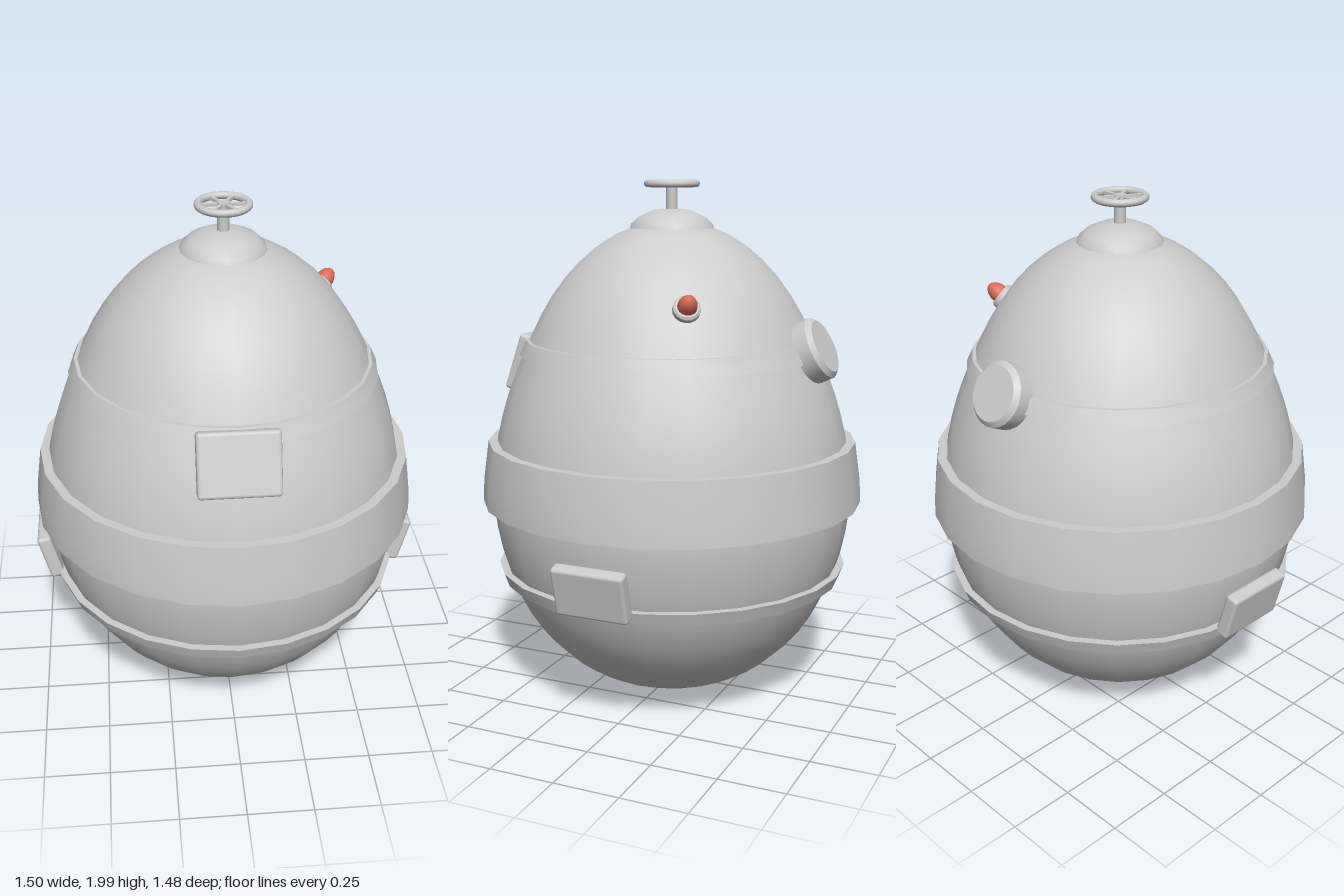
import * as THREE from 'three';
import { toCreasedNormals } from 'three/addons/utils/BufferGeometryUtils.js';
import { RoundedBoxGeometry } from 'three/addons/geometries/RoundedBoxGeometry.js';

const UP = new THREE.Vector3(0, 1, 0);
const toPoints = (list) => list.map(([r, y]) => new THREE.Vector2(r, y));
// Turned solid with sharp edges kept sharp
const turned = (list, sides = 24) =>
  toCreasedNormals(new THREE.LatheGeometry(toPoints(list), sides), 0.6);

export function createModel() {
  const model = new THREE.Group();
  const shell = new THREE.MeshStandardMaterial({ color: 0xcccccc });
  shell.name = 'grey shell';
  const red = new THREE.MeshStandardMaterial({ color: 0xdb6a55 });
  red.name = 'red lamp';

  const add = (name, geometry, material = shell, parent = model) => {
    const mesh = new THREE.Mesh(geometry, material);
    mesh.name = name;
    parent.add(mesh);
    return mesh;
  };
  // Group whose local +y points along a direction
  const aimed = (name, position, direction) => {
    const group = new THREE.Group();
    group.name = name;
    group.position.set(...position);
    group.quaternion.setFromUnitVectors(UP, new THREE.Vector3(...direction).normalize());
    model.add(group);
    return group;
  };

  // Egg-shaped body
  const profile = new THREE.SplineCurve(toPoints([
    [0, 0.005], [0.16, 0.025], [0.31, 0.08], [0.43, 0.16], [0.54, 0.28], [0.62, 0.42],
    [0.672, 0.57], [0.7, 0.74], [0.698, 0.88], [0.678, 1.03], [0.635, 1.19], [0.575, 1.34],
    [0.5, 1.5], [0.41, 1.635], [0.29, 1.75], [0.15, 1.825], [0, 1.85]]));
  const eggPoints = profile.getPoints(32);
  eggPoints[0].x = eggPoints[32].x = 0;
  add('body', new THREE.LatheGeometry(eggPoints, 24));

  // Raised hoops: [name, bottom y, outer profile from bottom to top, inner radii]
  const hoops = [
    ['lowerBand', [[0.668, 0.47], [0.686, 0.52]], 0.63, 0.65],
    ['middleBand', [[0.742, 0.775], [0.737, 0.86], [0.716, 1.01]], 0.68, 0.66],
    ['upperBand', [[0.587, 1.345], [0.562, 1.4]], 0.55, 0.53],
  ];
  for (const [name, outer, innerBottom, innerTop] of hoops) {
    const bottom = [innerBottom, outer[0][1]];
    const top = [innerTop, outer[outer.length - 1][1]];
    add(name, turned([bottom, ...outer, top]));
  }

  // Access plates on the front and both sides
  const frontPlate = add('frontPlate', new RoundedBoxGeometry(0.295, 0.235, 0.055, 2, 0.014));
  frontPlate.position.set(0, 1.285, 0.607);
  frontPlate.rotation.x = -0.34;
  for (const side of [-1, 1]) {
    const plate = add(side > 0 ? 'leftPlate' : 'rightPlate',
      new RoundedBoxGeometry(0.055, 0.193, 0.285, 2, 0.014));
    plate.position.set(side * 0.702, 0.583, 0);
    plate.rotation.z = -side * 0.25;
  }

  // Round hatch on the back
  const hatch = aimed('backHatch', [0, 1.385, -0.578], [0, 0.44, -0.9]);
  add('hatchDrum', turned([[0, -0.045], [0.12, -0.045], [0.12, 0.025], [0.102, 0.043], [0, 0.043]]),
    shell, hatch);

  // Warning lamp
  const lamp = aimed('warningLamp', [0.4, 1.56, -0.232], [0.65, 0.6, -0.43]);
  add('lampSocket', turned([[0, -0.03], [0.05, -0.03], [0.05, 0.012], [0.042, 0.02], [0, 0.02]], 16),
    shell, lamp);
  add('lampBulb', new THREE.LatheGeometry(toPoints(
    [[0.036, 0.018], [0.034, 0.038], [0.026, 0.058], [0.014, 0.071], [0, 0.076]]), 16), red, lamp);

  // Top cap with a valve wheel
  add('topCap', new THREE.LatheGeometry(toPoints(
    [[0.166, 1.8], [0.156, 1.835], [0.127, 1.862], [0.07, 1.888], [0, 1.893]]), 18));
  add('valveStem', new THREE.CylinderGeometry(0.022, 0.022, 0.12, 16)).position.y = 1.935;
  const wheel = new THREE.Group();
  wheel.name = 'valveWheel';
  wheel.position.y = 1.986;
  model.add(wheel);
  add('wheelRim', new THREE.TorusGeometry(0.092, 0.014, 10, 28), shell, wheel).rotation.x = Math.PI / 2;
  for (let i = 0; i < 3; i++) {
    const spoke = add('wheelSpoke', new THREE.BoxGeometry(0.18, 0.012, 0.013), shell, wheel);
    spoke.rotation.y = (i * Math.PI) / 3;
  }
  return model;
}
